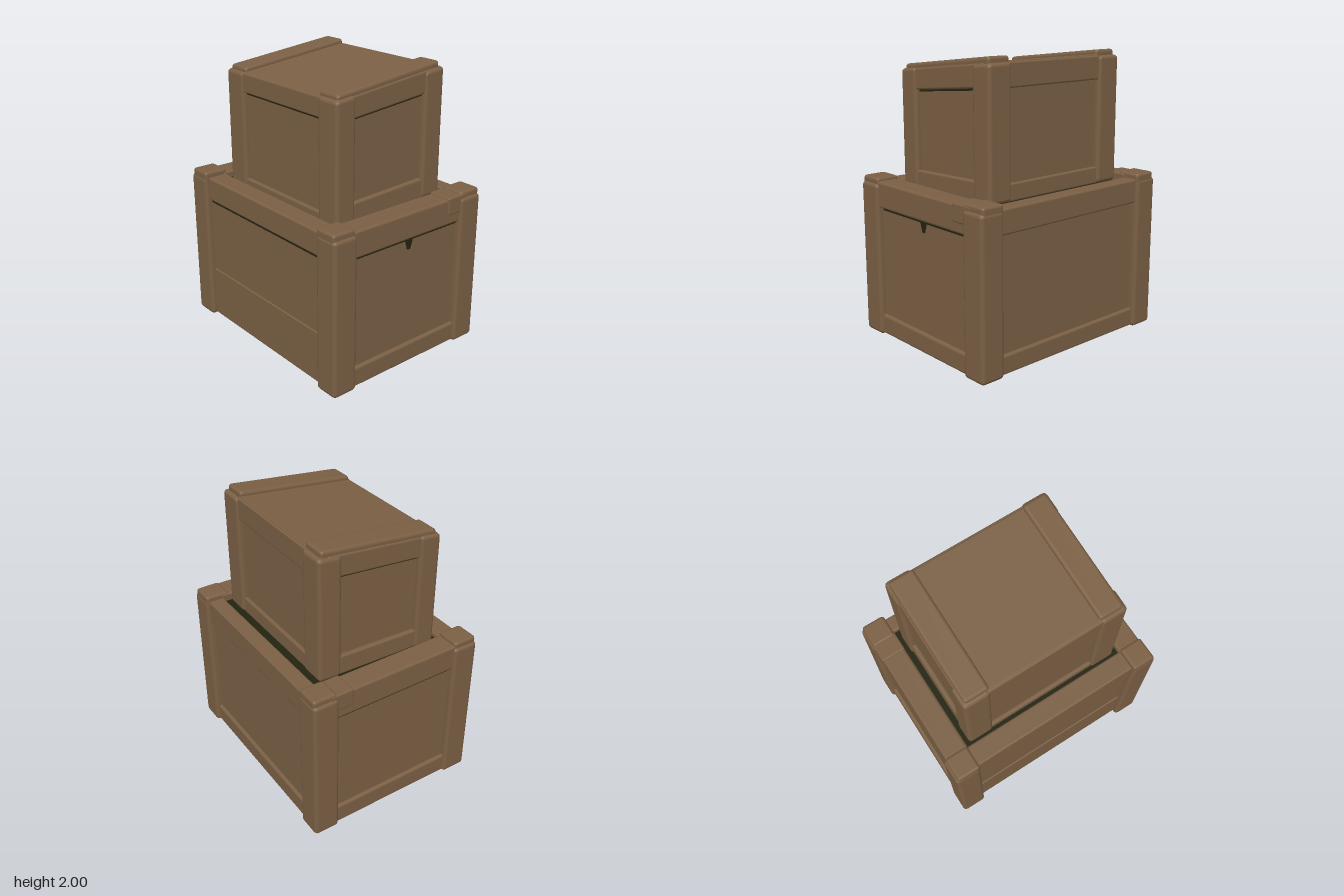
import * as THREE from 'three';
import { RoundedBoxGeometry } from 'three/addons/geometries/RoundedBoxGeometry.js';

export function createModel() {
  const wood = new THREE.MeshStandardMaterial({ color: 0x7a5f44 });
  wood.name = 'brown wood';
  const gap = new THREE.MeshStandardMaterial({ color: 0x22230f, side: THREE.DoubleSide });
  gap.name = 'dark gap';

  const model = new THREE.Group();
  model.name = 'stackedCrates';
  const lower = new THREE.Group();
  lower.name = 'lowerCrate';
  const upper = new THREE.Group();
  upper.name = 'upperCrate';
  model.add(lower, upper);

  // Tilts upper-crate parts so their tops rise towards the back
  const lean = (g) => {
    const p = g.attributes.position, n = g.attributes.normal, v = new THREE.Vector3();
    for (let i = 0; i < p.count; i++) {
      const slope = 0.03 + 0.08 * THREE.MathUtils.clamp((p.getY(i) - 1.1) / 0.85, 0, 1);
      p.setY(i, p.getY(i) - slope * p.getZ(i));
      v.fromBufferAttribute(n, i);
      v.z += slope * v.y;
      v.normalize();
      n.setXYZ(i, v.x, v.y, v.z);
    }
  };

  // Box given by its limits on each axis; r is the edge rounding
  const box = (parent, name, [x0, x1], [y0, y1], [z0, z1], r = 0.012, mat = wood) => {
    const w = x1 - x0, h = y1 - y0, d = z1 - z0;
    const g = r ? new RoundedBoxGeometry(w, h, d, 2, r) : new THREE.BoxGeometry(w, h, d);
    g.translate((x0 + x1) / 2, (y0 + y1) / 2, (z0 + z1) / 2);
    if (parent === upper) lean(g);
    const m = new THREE.Mesh(g, mat);
    m.name = name;
    parent.add(m);
    return m;
  };
  // Limits on the positive or negative side
  const side = (s, a, b) => (s > 0 ? [a, b] : [-b, -a]);

  // ---- Lower crate ----
  box(lower, 'lowerPanels', [-0.765, 0.765], [0.015, 1.06], [-0.6, 0.6], 0);
  box(lower, 'recessedLid', [-0.64, 0.64], [1.06, 1.068], [-0.53, 0.49], 0, gap);
  box(lower, 'lowerFrontBoard', [-0.64, 0.64], [0.01, 0.38], [0.58, 0.61], 0.008);
  for (const sx of [1, -1]) {
    for (const sz of [1, -1]) {
      box(lower, 'lowerPost', side(sx, 0.625, 0.81), [0, 1.1], side(sz, 0.46, 0.65), 0.028);
      box(lower, 'lowerPostCap', side(sx, 0.625, 0.795), [1, 1.14], side(sz, 0.47, 0.645), 0.02);
    }
    box(lower, 'lowerSideTopRail', side(sx, 0.62, 0.79), [0.93, 1.115], [-0.5, 0.5], 0.018);
    box(lower, 'lowerSideBottomRail', side(sx, 0.65, 0.79), [0.008, 0.15], [-0.5, 0.5], 0.018);
    box(lower, 'railTab', side(sx, 0.62, 0.798), [1, 1.125], [-0.52, -0.35]);
    box(lower, 'lowerSideShadowGap', side(sx, 0.764, 0.768), [0.915, 0.932], [-0.46, 0.45], 0, gap);
  }
  box(lower, 'lowerFrontTopRail', [-0.65, 0.65], [0.93, 1.1], [0.47, 0.62], 0.015);
  box(lower, 'lowerBackTopRail', [-0.65, 0.65], [0.93, 1.1], [-0.625, -0.51], 0.015);
  box(lower, 'lowerBackBottomRail', [-0.65, 0.65], [0.008, 0.14], [-0.625, -0.5], 0.015);
  box(lower, 'lowerFrontShadowGap', [-0.62, 0.62], [0.912, 0.932], [0.598, 0.603], 0, gap);

  // Chipped notch on the left side panel
  const notch = new THREE.Shape([[-0.04, 0.93], [0.04, 0.93], [0.015, 0.85], [-0.015, 0.85]]
    .map(([x, y]) => new THREE.Vector2(x, y)));
  const notchMesh = new THREE.Mesh(new THREE.ShapeGeometry(notch), gap);
  notchMesh.name = 'panelNotch';
  notchMesh.rotation.y = Math.PI / 2;
  notchMesh.position.set(0.768, 0, -0.015);
  lower.add(notchMesh);

  // Two dark openings in the floor
  for (const [x, z] of [[0.23, 0.28], [-0.32, 0.38]]) {
    const hole = new THREE.Mesh(new THREE.CylinderGeometry(0.05, 0.05, 0.004, 6), gap);
    hole.name = 'floorOpening';
    hole.scale.x = 1.5;
    hole.position.set(x, 0.0135, z);
    lower.add(hole);
  }

  // ---- Upper crate ----
  box(upper, 'upperPanels', [-0.55, 0.55], [1.065, 1.88], [-0.43, 0.415], 0);
  box(upper, 'lid', [-0.42, 0.42], [1.8, 1.925], [-0.44, 0.43], 0.012);
  for (const sx of [1, -1]) {
    box(upper, 'upperFrontPost', side(sx, 0.4, 0.59), [1.065, 1.925], [0.29, 0.45], 0.028);
    box(upper, 'upperBackPost', side(sx, 0.4, 0.59), [1.065, 1.915], [-0.47, -0.3], 0.028);
    box(upper, 'lidStrap', side(sx, 0.395, 0.57), [1.82, 1.955], [-0.44, 0.425], 0.022);
    box(upper, 'upperSideTopRail', side(sx, 0.45, 0.578), [1.77, 1.92], [-0.4, 0.4], 0.015);
    box(upper, 'upperSideBottomRail', side(sx, 0.45, 0.578), [1.065, 1.205], [-0.4, 0.4], 0.015);
    box(upper, 'upperSideShadowGap', side(sx, 0.548, 0.553), [1.757, 1.772], [-0.3, 0.29], 0, gap);
  }
  box(upper, 'upperFrontTopRail', [-0.45, 0.45], [1.78, 1.92], [0.3, 0.44]);
  box(upper, 'upperBackTopRail', [-0.45, 0.45], [1.76, 1.915], [-0.455, -0.3]);
  box(upper, 'upperFrontBottomRail', [-0.45, 0.45], [1.065, 1.13], [0.3, 0.44]);
  box(upper, 'upperBackBottomRail', [-0.45, 0.45], [1.065, 1.18], [-0.455, -0.3]);
  box(upper, 'upperFrontShadowGap', [-0.4, 0.4], [1.763, 1.782], [0.413, 0.418], 0, gap);

  return model;
}
